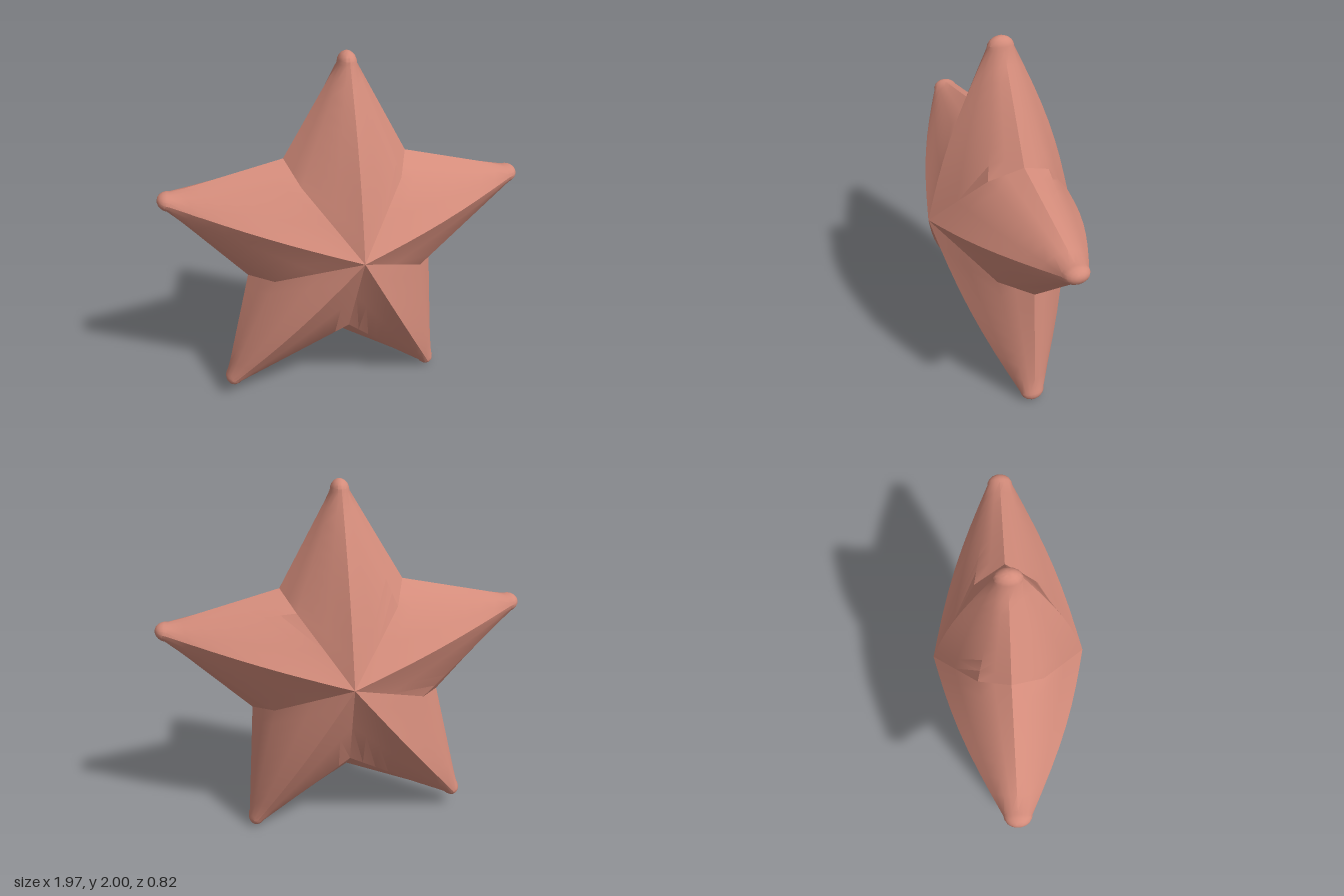
import * as THREE from 'three';
import { toCreasedNormals } from 'three/addons/utils/BufferGeometryUtils.js';

const CENTRE = [0, 1.01], DEPTH = 0.41;
// Clockwise from the top; valley i lies between arm i and arm i + 1
const TIPS = [[0.01, 2], [0.985, 1.25], [0.53, 0], [-0.7, 0.08], [-0.985, 1.305]];
const OUTER = [[0.33, 1.44], [0.5, 0.76], [-0.03, 0.345], [-0.55, 0.79], [-0.33, 1.46]];
const INNER = [[0.26, 1.355], [0.39, 0.81], [-0.02, 0.475], [-0.43, 0.825], [-0.27, 1.36]];
const BEVEL_DEPTH = 0.165;
const SIDES = 16, BODY_STEPS = 8, CAP_STEPS = 5;
const CAP_LENGTH = 0.06, TIP_WIDTH = 0.05, TIP_DEPTH = 0.07;

const at = ([x, y], z) => new THREE.Vector3(x, y, z);

// Loft from the angular base section to a rounded tip
function armGeometry(i) {
  const j = (i + 4) % 5;
  const base = [
    at(CENTRE, DEPTH), at(INNER[i], BEVEL_DEPTH), at(OUTER[i], 0), at(INNER[i], -BEVEL_DEPTH),
    at(CENTRE, -DEPTH), at(INNER[j], -BEVEL_DEPTH), at(OUTER[j], 0), at(INNER[j], BEVEL_DEPTH),
  ];
  const tip = at(TIPS[i], 0);
  const along = tip.clone().sub(at(CENTRE, 0)).normalize();
  const across = new THREE.Vector3(along.y, -along.x, 0);
  const capCentre = tip.clone().addScaledVector(along, -CAP_LENGTH);

  const tipPoint = (k, turn) => {
    const a = (k / SIDES) * Math.PI * 2, r = Math.cos(turn);
    const p = capCentre.clone().addScaledVector(along, Math.sin(turn) * CAP_LENGTH);
    p.addScaledVector(across, Math.sin(a) * TIP_WIDTH * r);
    p.z += Math.cos(a) * TIP_DEPTH * r;
    return p;
  };
  const basePoint = (k) => {
    const n = Math.floor(k / 2);
    return base[n].clone().lerp(base[(n + 1) % 8], (k % 2) / 2);
  };

  const rings = [];
  for (let s = 0; s <= BODY_STEPS; s++) {
    const t = s / BODY_STEPS, ring = [];
    for (let k = 0; k < SIDES; k++) {
      const p = basePoint(k).lerp(tipPoint(k, 0), t);
      // Ridges swell slightly midway along the arm
      const front = Math.max(0, 1 - Math.min(k, SIDES - k) / 2);
      const back = Math.max(0, 1 - Math.abs(k - SIDES / 2) / 2);
      p.z += (front - back) * 0.035 * Math.sin(Math.PI * t);
      ring.push(p);
    }
    rings.push(ring);
  }
  for (let c = 1; c <= CAP_STEPS; c++) {
    const turn = (c / CAP_STEPS) * Math.PI / 2;
    rings.push(Array.from({ length: SIDES }, (_, k) => (c === CAP_STEPS ? tip : tipPoint(k, turn))));
  }

  const points = [];
  for (let s = 0; s < rings.length - 1; s++) {
    for (let k = 0; k < SIDES; k++) {
      const n = (k + 1) % SIDES;
      const a = rings[s][k], b = rings[s][n], c = rings[s + 1][n], d = rings[s + 1][k];
      points.push(a, b, c);
      if (s < rings.length - 2) points.push(a, c, d);
    }
  }
  return toCreasedNormals(new THREE.BufferGeometry().setFromPoints(points), 0.5);
}

export function createModel() {
  const star = new THREE.Group();
  star.name = 'star';
  const coral = new THREE.MeshStandardMaterial({ color: 0xd48c7b });
  coral.name = 'coral';
  const names = ['topArm', 'leftArm', 'lowerLeftArm', 'lowerRightArm', 'rightArm'];
  names.forEach((name, i) => {
    const arm = new THREE.Mesh(armGeometry(i), coral);
    arm.name = name;
    star.add(arm);
  });
  return star;
}
